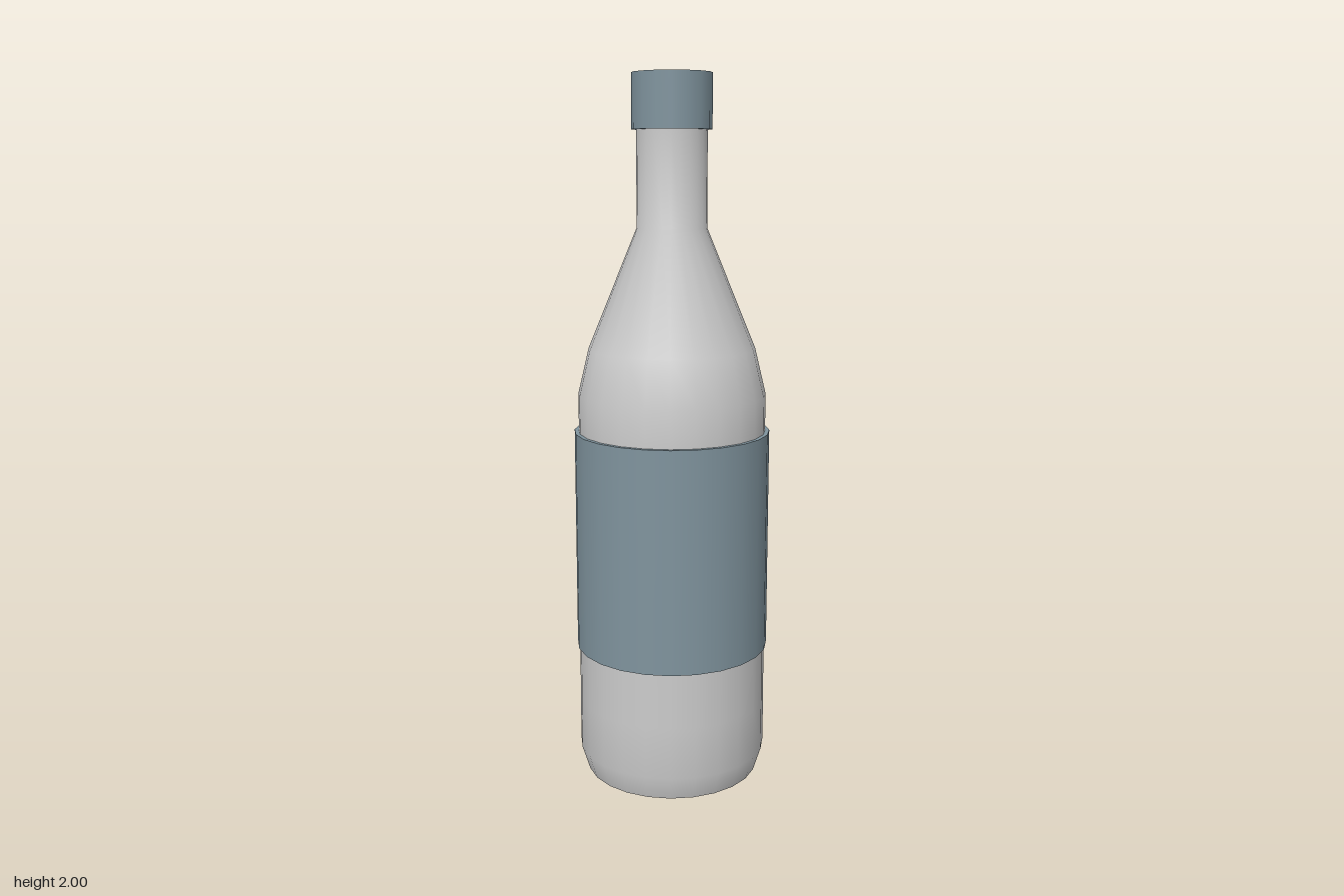
import * as THREE from 'three';

export function createModel() {
  const bottle = new THREE.Group();
  bottle.name = 'bottle';
  const glass = new THREE.MeshStandardMaterial({ color: 0xcccccc });
  const wrap = new THREE.MeshStandardMaterial({ color: 0x80949e });

  const add = (name, geometry, material, y = 0) => {
    const mesh = new THREE.Mesh(geometry, material);
    mesh.name = name;
    mesh.position.y = y;
    bottle.add(mesh);
    return mesh;
  };

  // Turned body: bevelled foot, straight wall, sloping shoulder and neck
  const profile = [
    [0.25, 0], [0.272, 0.07], [0.272, 0.22], [0.266, 1.02], [0.266, 1.12],
    [0.235, 1.25], [0.098, 1.585], [0.098, 1.86],
  ].map(([r, y]) => new THREE.Vector2(r, y));
  add('body', new THREE.LatheGeometry(profile, 24), glass);

  // Flat underside
  add('base', new THREE.CircleGeometry(0.25, 24).rotateX(Math.PI / 2), glass);

  // Label band around the body
  add('label', new THREE.CylinderGeometry(0.278, 0.278, 0.635, 24), wrap, 0.6975);

  // Cap closing the neck
  add('cap', new THREE.CylinderGeometry(0.111, 0.111, 0.15, 16), wrap, 1.925);

  return bottle;
}
